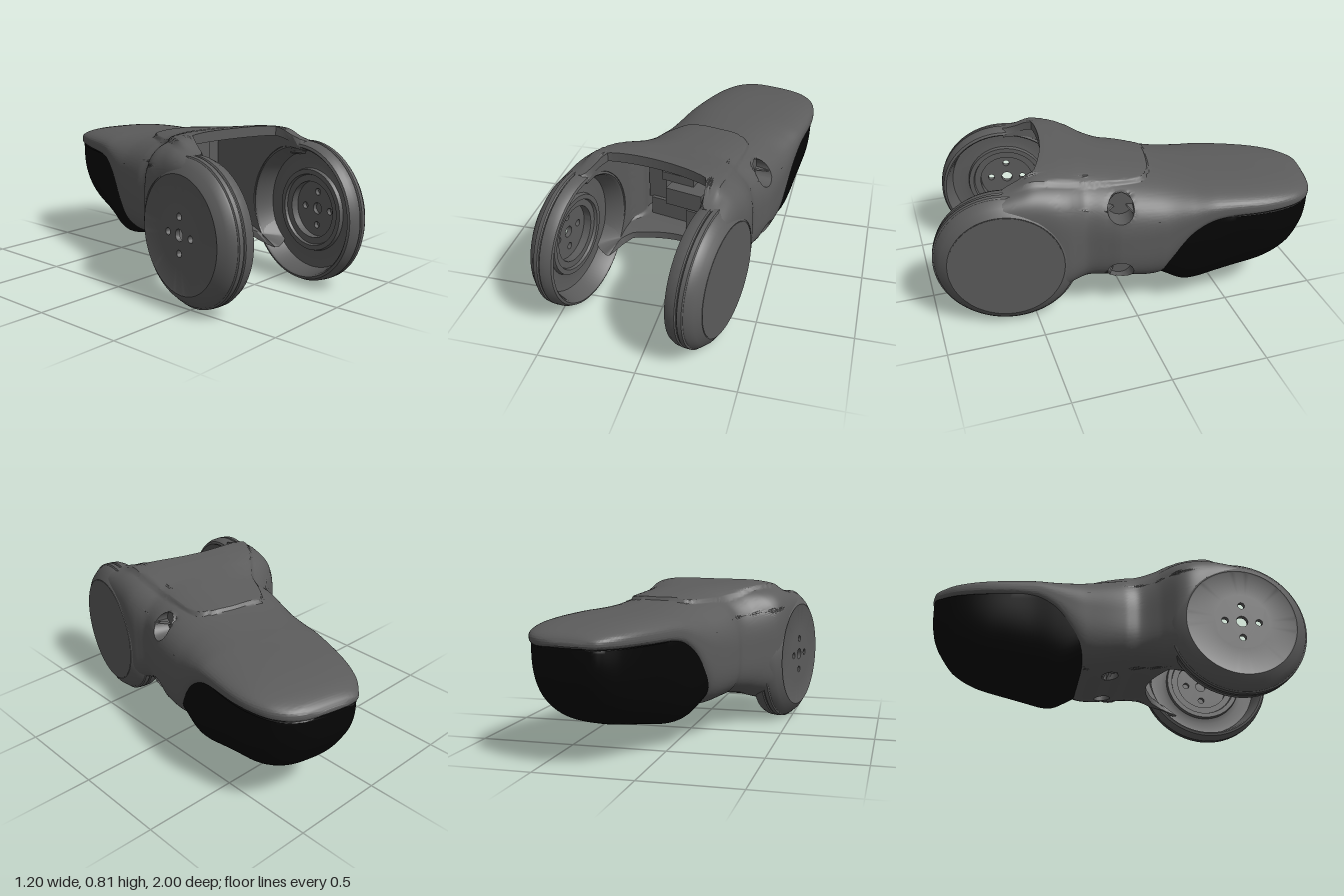
import * as THREE from 'three';
import { toCreasedNormals } from 'three/addons/utils/BufferGeometryUtils.js';

const grey = new THREE.MeshStandardMaterial({ color: 0x5c5c5c });
const black = new THREE.MeshStandardMaterial({ color: 0x050505 });
const { clamp, lerp, smoothstep } = THREE.MathUtils;
const MID = 0.034, HUB_Y = 0.37, HUB_Z = 0.56, TIP = -1.03, RING = 260;

// Smooth curve through rows [z, a, b, ...]; returns all columns at z
function track(rows) {
  return z => {
    const last = rows.length - 1;
    if (z <= rows[0][0]) return rows[0].slice(1);
    if (z >= rows[last][0]) return rows[last].slice(1);
    const i = rows.findIndex(r => r[0] > z) - 1;
    const p = rows[i], q = rows[i + 1], d = q[0] - p[0], t = (z - p[0]) / d;
    const a = rows[Math.max(i - 1, 0)], b = rows[Math.min(i + 2, last)];
    return p.slice(1).map((v, k) => {
      const c = k + 1, e = q[c];
      const m0 = (e - a[c]) / (q[0] - a[0]) * d, m1 = (b[c] - v) / (b[0] - p[0]) * d;
      const t2 = t * t, t3 = t2 * t;
      return (2 * t3 - 3 * t2 + 1) * v + (t3 - 2 * t2 + t) * m0 + (3 * t2 - 2 * t3) * e + (t3 - t2) * m1;
    });
  };
}

// z, right edge (-x), left edge (+x), top, underside, height of widest line, squareness
const body = track([
  [-1.03, 0.03, 0.19, 0.605, 0.585, 0.597, 2.4],
  [-1.015, -0.035, 0.27, 0.625, 0.572, 0.6, 2.4],
  [-0.98, -0.07, 0.34, 0.645, 0.565, 0.603, 2.5],
  [-0.9, -0.12, 0.405, 0.665, 0.56, 0.607, 2.6],
  [-0.75, -0.165, 0.455, 0.685, 0.555, 0.61, 2.6],
  [-0.5, -0.205, 0.476, 0.7, 0.53, 0.6, 2.6],
  [-0.38, -0.23, 0.48, 0.706, 0.44, 0.55, 2.6],
  [-0.28, -0.25, 0.482, 0.714, 0.25, 0.5, 2.6],
  [-0.22, -0.26, 0.485, 0.72, 0.175, 0.48, 2.6],
  [-0.02, -0.29, 0.487, 0.745, 0.18, 0.45, 2.7],
  [0.06, -0.285, 0.475, 0.755, 0.188, 0.45, 2.8],
  [0.15, -0.33, 0.464, 0.766, 0.185, 0.45, 3.1],
  [0.2, -0.375, 0.477, 0.773, 0.177, 0.45, 3.5],
  [0.24, -0.41, 0.49, 0.778, 0.165, 0.45, 3.8],
  [0.3, -0.431, 0.499, 0.786, 0.14, 0.45, 4.2],
  [0.4, -0.431, 0.499, 0.791, 0.12, 0.45, 4.8],
  [0.48, -0.431, 0.499, 0.768, 0.1, 0.45, 6],
  [0.57, -0.431, 0.499, 0.743, 0.1, 0.45, 7],
]);
const soleBottom = track([
  [-1.03, 0.5], [-1.015, 0.42], [-0.98, 0.35], [-0.9, 0.25], [-0.75, 0.175],
  [-0.5, 0.125], [-0.36, 0.11], [-0.25, 0.165], [-0.2, 0.2],
]);
// Side edges of the raised cover panel
const panel = track([
  [-0.19, -0.05, 0.2], [-0.14, -0.1, 0.3], [0.03, -0.165, 0.344],
  [0.09, -0.185, 0.35], [0.38, -0.33, 0.4], [0.6, -0.35, 0.415],
]);

// Point of a rounded-square section at angle a; the lower half is squarer
function sectionPoint([l, r, top, bot, cy, round], a) {
  const c = Math.cos(a), s = Math.sin(a), n = s > 0 ? round : round + 1;
  const k = Math.pow(Math.abs(c) ** n + Math.abs(s) ** n, -1 / n);
  return [(l + r) / 2 + c * k * (r - l) / 2, cy + s * k * (s > 0 ? top - cy : cy - bot)];
}

// Closed rings from point(row, angle), joined in order
function loft(rows, ring, point) {
  const pos = [], idx = [];
  for (let i = 0; i < rows; i++)
    for (let j = 0; j < ring; j++) pos.push(...point(i, j / ring * Math.PI * 2));
  for (let i = 0; i < rows - 1; i++)
    for (let j = 0; j < ring; j++) {
      const a = i * ring + j, b = i * ring + (j + 1) % ring;
      idx.push(a, b, a + ring, b, b + ring, a + ring);
    }
  const g = new THREE.BufferGeometry();
  g.setAttribute('position', new THREE.Float32BufferAttribute(pos, 3));
  g.setIndex(idx);
  return toCreasedNormals(g, 0.6);
}

// Front edge of the shell: top lip, lower lip, and arms cut round the hubs
function frontEdge(a, radius) {
  const [x, y] = sectionPoint(body(0.4), a), off = Math.abs(x - MID);
  const lip = y > 0.45 ? 0.365 + 0.5 * off * off : 0.15 + off * off;
  const hub = HUB_Z - Math.sqrt(Math.max(0, radius * radius - (y - HUB_Y) ** 2));
  return lerp(lip, hub, smoothstep(off, 0.265, 0.325));
}

// Round recess: gathers nearby points onto a crisp rim or the flat floor.
// Returns the shifted (u, v) and whether the point lies on the floor.
function recess(u, v, cu, cv, r) {
  const du = u - cu, dv = v - cv, d = Math.hypot(du, dv) / r;
  if (d > 1.15 || d === 0) return [u, v, d === 0];
  const k = d > 0.8 ? 1 / d : d > 0.6 ? 0.98 / d : 1;
  return [cu + du * k, cv + dv * k, d <= 0.8];
}

function outerPoint(z, a) {
  let [x, y] = sectionPoint(body(z), a), floor;
  if (y > 0.62) { // raised cover panel, fading out along the arms
    const [l, r] = panel(z);
    y += 0.018 * smoothstep(Math.min(x - l, r - x, z + 0.19), 0, 0.016) * (1 - smoothstep(z, 0.4, 0.54));
  }
  if (x > 0.37) // bolt recesses in the side
    for (const h of [0.635, 0.275]) {
      [y, z, floor] = recess(y, z, h, -0.016, 0.066);
      if (floor) x = 0.375;
    }
  else if (y < 0.26) // bolt recesses underneath
    for (const h of [0.27, -0.06]) {
      [x, z, floor] = recess(x, z, h, -0.07, 0.045);
      if (floor) y = 0.212;
    }
  return [x, y, z];
}

function shellGeometry() {
  const OUT = 150, IN = 22, BACK = -0.12;
  return loft(OUT + IN + 2, RING, (i, a) => {
    if (i === 0) return [0.11, 0.597, TIP];
    if (i <= OUT) {
      const t = ((i - 1) / (OUT - 1)) ** 1.3;
      return outerPoint(lerp(TIP, frontEdge(a, 0.3), t), a);
    }
    if (i > OUT + IN) return [MID, 0.48, BACK];
    // inner cavity
    const z = lerp(frontEdge(a, 0.355), BACK, (i - OUT - 1) / (IN - 1));
    const s = body(z), [x, y] = sectionPoint(s, a);
    return [
      clamp(x, Math.max(s[0] + 0.05, MID - 0.3), Math.min(s[1] - 0.05, MID + 0.3)),
      clamp(y, s[3] + 0.04, s[2] - 0.035), z];
  });
}

function soleGeometry() {
  const N = 70;
  return loft(N + 2, 96, (i, a) => {
    if (i === 0) return [0.11, 0.56, TIP + 0.008];
    if (i > N) return [0.12, 0.4, -0.2];
    const z = lerp(TIP + 0.008, -0.2, ((i - 1) / (N - 1)) ** 1.5);
    const [l, r] = body(z), n = 1.8 + 1.4 * smoothstep(z, -0.7, -0.28);
    const [x, y] = sectionPoint([l + 0.012, r - 0.012, 0.585, soleBottom(z)[0], 0.57, n], a);
    return [x, y, z];
  });
}

function add(parent, name, geometry, material = grey) {
  const m = new THREE.Mesh(geometry, material);
  m.name = name;
  parent.add(m);
  return m;
}

// Round arm end: cup open to the inside, hub plate with bolt holes
function hub(side) {
  const g = new THREE.Group();
  g.name = side > 0 ? 'leftHub' : 'rightHub';
  g.position.set(MID, HUB_Y, HUB_Z);
  g.rotation.z = -side * Math.PI / 2;
  const profile = [
    [0.15, 0.437], [0.15, 0.395], [0.185, 0.395], [0.19, 0.38], [0.215, 0.38], [0.22, 0.4], [0.25, 0.405],
    [0.31, 0.4], [0.333, 0.31], [0.342, 0.3], [0.355, 0.305], [0.367, 0.33], [0.37, 0.362],
    [0.364, 0.367], [0.364, 0.371], [0.37, 0.376], [0.368, 0.397], [0.36, 0.402], [0.356, 0.412],
    [0.33, 0.441], [0.292, 0.465], [0.285, 0.462], [0.15, 0.462],
  ].map(p => new THREE.Vector2(...p));
  add(g, 'hubCup', toCreasedNormals(new THREE.LatheGeometry(profile, 96), 0.5));

  const plate = new THREE.Shape().absarc(0, 0, 0.151, 0, Math.PI * 2);
  const hole = (x, y, r) => plate.holes.push(new THREE.Path().absarc(x, y, r, 0, Math.PI * 2, true));
  hole(0, 0, 0.03);
  for (let i = 0; i < 4; i++)
    hole(0.09 * Math.cos(i * Math.PI / 2), 0.09 * Math.sin(i * Math.PI / 2), 0.018);
  const plateGeo = new THREE.ExtrudeGeometry(plate, { depth: 0.025, bevelEnabled: false, curveSegments: 32 });
  plateGeo.rotateX(-Math.PI / 2).translate(0, 0.437, 0);
  add(g, 'hubPlate', plateGeo);
  if (side > 0) { // plain cap closes the left hub
    const cap = new THREE.CylinderGeometry(0.288, 0.288, 0.006, 96);
    add(g, 'hubCap', cap.translate(0, 0.4625, 0));
  }
  return g;
}

export function createModel() {
  const model = new THREE.Group();
  model.name = 'footLink';
  const foot = new THREE.Group();
  foot.name = 'foot';
  foot.rotation.y = -12 * Math.PI / 180;
  model.add(foot);

  add(foot, 'shell', shellGeometry());
  add(foot, 'sole', soleGeometry(), black);
  for (const side of [-1, 1]) foot.add(hub(side));

  // Mounting blocks inside the cavity: x0, x1, y0, y1, front z
  const blocks = {
    lowerShelf: [-0.2, 0.31, 0.22, 0.33, 0.02],
    sideBlock: [-0.225, -0.12, 0.32, 0.52, 0],
    upperShelf: [-0.13, 0.06, 0.47, 0.52, 0.03],
    centreBlock: [-0.07, 0.14, 0.37, 0.47, 0.1],
    upperRib: [0.02, 0.12, 0.57, 0.725, 0.08],
    lowerRib: [0.05, 0.14, 0.22, 0.36, 0.1],
  };
  for (const [name, [x0, x1, y0, y1, z]] of Object.entries(blocks)) {
    const box = new THREE.BoxGeometry(x1 - x0, y1 - y0, z + 0.14);
    add(foot, name, box).position.set((x0 + x1) / 2, (y0 + y1) / 2, (z - 0.14) / 2);
  }
  return model;
}
